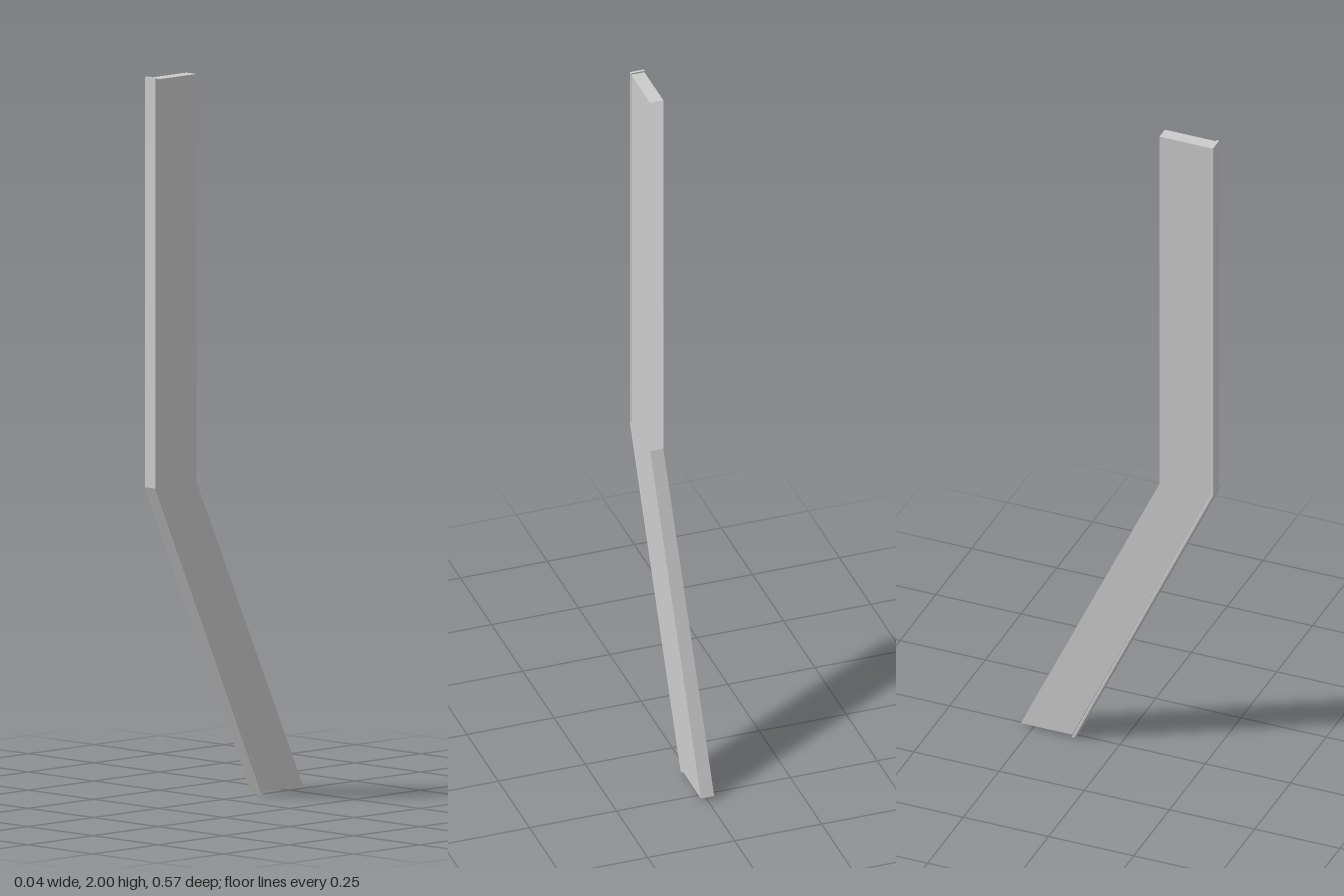
import * as THREE from 'three';

const material = new THREE.MeshStandardMaterial({ color: 0xcccccc, side: THREE.DoubleSide, flatShading: true });
const HALF = 0.019; // half width of the channel body

// Side outline as [z, y], running from the back bend round to the back top
const outline = [
  [0.124, 0.88], [-0.283, 0.01], [-0.132, 0.01],
  [0.275, 0.88], [0.275, 1.996], [0.124, 1.996],
];

function shapeFrom(points) {
  return new THREE.Shape(points.map(([z, y]) => new THREE.Vector2(z, y)));
}

function addMesh(group, name, geometry) {
  const mesh = new THREE.Mesh(geometry, material);
  mesh.name = name;
  group.add(mesh);
  return mesh;
}

// Thin walls joining both sides along the outline; the upper back stays open
function channelWalls() {
  const positions = [];
  for (let i = 0; i < outline.length - 1; i++) {
    const [z0, y0] = outline[i];
    const [z1, y1] = outline[i + 1];
    const a = [-HALF, y0, z0], b = [HALF, y0, z0];
    const c = [HALF, y1, z1], d = [-HALF, y1, z1];
    positions.push(...a, ...c, ...b, ...a, ...d, ...c);
  }
  const geometry = new THREE.BufferGeometry();
  geometry.setAttribute('position', new THREE.Float32BufferAttribute(positions, 3));
  geometry.computeVertexNormals();
  return geometry;
}

export function createModel() {
  const model = new THREE.Group();
  model.name = 'bentChannel';

  // Flat side plates: right faces -x, left faces +x
  const plate = new THREE.ShapeGeometry(shapeFrom(outline)).rotateY(-Math.PI / 2);
  addMesh(model, 'rightSide', plate).position.x = -HALF;
  const leftOutline = outline.map(([z, y]) => [-z, y]);
  const leftPlate = new THREE.ShapeGeometry(shapeFrom(leftOutline)).rotateY(Math.PI / 2);
  addMesh(model, 'leftSide', leftPlate).position.x = HALF;

  addMesh(model, 'channelWalls', channelWalls());

  // Slightly wider front band with softened edges, following the bend
  const band = new THREE.ExtrudeGeometry(shapeFrom([
    [0.283, 2], [0.275, 2], [0.275, 0.881],
    [-0.133, 0.004], [-0.125, 0], [0.283, 0.879],
  ]), {
    depth: 0.038, bevelEnabled: true, bevelThickness: 0.002,
    bevelSize: 0.002, bevelOffset: -0.002, bevelSegments: 2,
  });
  band.translate(0, 0, -0.019).rotateY(-Math.PI / 2);
  addMesh(model, 'frontBand', band);

  return model;
}
